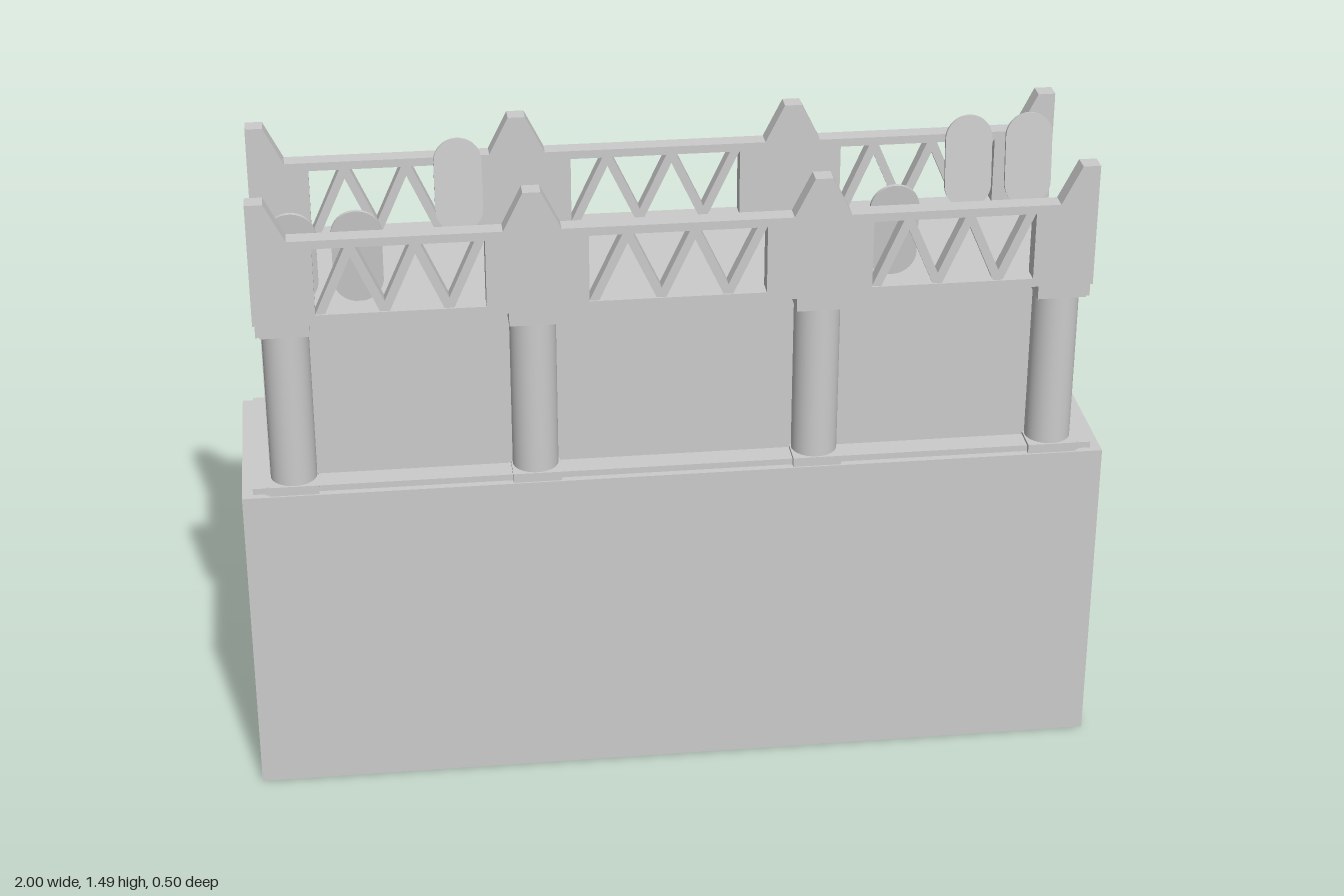
import * as THREE from 'three';

const grey = new THREE.MeshStandardMaterial({ color: 0xcccccc });
const greyThin = new THREE.MeshStandardMaterial({ color: 0xcccccc, side: THREE.DoubleSide });

function addMesh(parent, name, geometry, material = grey) {
  const mesh = new THREE.Mesh(geometry, material);
  mesh.name = name;
  parent.add(mesh);
  return mesh;
}

// Box given by its minimum and maximum corners
function addBox(parent, name, [x0, y0, z0], [x1, y1, z1], material) {
  const mesh = addMesh(parent, name, new THREE.BoxGeometry(x1 - x0, y1 - y0, z1 - z0), material);
  mesh.position.set((x0 + x1) / 2, (y0 + y1) / 2, (z0 + z1) / 2);
  return mesh;
}

function polygon(points) {
  return points.map(([x, y]) => new THREE.Vector2(x, y));
}

// Railing wall: peaked posts, three rectangular openings, zigzag bars
function createParapet(depth) {
  const group = new THREE.Group();
  const bays = [[-0.81, -0.43], [-0.2, 0.2], [0.44, 0.81]];
  const low = 1.22, high = 1.38;

  const half = [[0.26, 1.4], [0.305, 1.49], [0.345, 1.49], [0.39, 1.4], [0.865, 1.4], [0.91, 1.49], [0.95, 1.49], [0.95, 1.2]];
  const mirrored = half.map(([x, y]) => [-x, y]).reverse();
  const wall = new THREE.Shape(polygon([...mirrored, ...half]));
  for (const [a, b] of bays) {
    wall.holes.push(new THREE.Path(polygon([[a, low], [b, low], [b, high], [a, high]])));
  }
  addMesh(group, 'parapetWall', new THREE.ExtrudeGeometry(wall, { depth, bevelEnabled: false }));

  const w = 0.011; // half the horizontal width of a bar
  for (const [a, b] of bays) {
    const step = (b - a - 2 * w) / 5;
    for (let i = 0; i < 5; i++) {
      const xa = a + w + i * step, xb = xa + step;
      const ya = i % 2 ? high : low, yb = i % 2 ? low : high;
      const bar = new THREE.Shape(polygon([[xa - w, ya], [xa + w, ya], [xb + w, yb], [xb - w, yb]]));
      const mesh = addMesh(group, 'zigzagBar', new THREE.ExtrudeGeometry(bar, { depth: depth * 0.8, bevelEnabled: false }));
      mesh.position.z = depth * 0.1;
    }
  }
  return group;
}

// Flat board with round ends, standing on its lower end
function boardGeometry() {
  const r = 0.056, length = 0.228;
  const shape = new THREE.Shape();
  shape.absarc(0, length - r, r, 0, Math.PI, false);
  shape.absarc(0, r, r, Math.PI, Math.PI * 2, false);
  return new THREE.ExtrudeGeometry(shape, { depth: 0.008, bevelEnabled: false, curveSegments: 16 });
}

export function createModel() {
  const model = new THREE.Group();
  model.name = 'bridgePier';

  // Hollow base, open underneath
  const shell = new THREE.BoxGeometry(2, 0.77, 0.495);
  const faces = Array.from(shell.index.array);
  faces.splice(18, 6);
  shell.setIndex(faces);
  shell.clearGroups();
  addMesh(model, 'base', shell, greyThin).position.y = 0.385;

  // Plinth, inner block and deck
  addBox(model, 'plinth', [-0.975, 0.765, -0.23], [0.975, 0.785, 0.23]);
  addBox(model, 'innerBlock', [-0.935, 0.78, -0.172], [0.935, 1.205, 0.172]);
  addBox(model, 'deck', [-0.948, 1.2, -0.24], [0.948, 1.22, 0.24]);
  for (const s of [-1, 1]) {
    const xs = [s * 0.83, s * 0.945].sort((a, b) => a - b);
    addBox(model, 'deckEndBeam', [xs[0], 1.17, -0.24], [xs[1], 1.2, 0.24]);
    addBox(model, 'plinthEndStep', [xs[0], 0.77, -0.236], [xs[1], 0.79, 0.236]);
  }

  // Columns with foot pads and capitals
  const columnShape = new THREE.CylinderGeometry(0.053, 0.053, 0.39, 32);
  for (const side of [-1, 1]) {
    for (const x of [-0.88, -0.325, 0.325, 0.88]) {
      const column = addMesh(model, 'column', columnShape);
      column.position.set(x, 0.98, side * 0.186);
      const z0 = Math.min(side * 0.15, side * 0.243), z1 = Math.max(side * 0.15, side * 0.243);
      addBox(model, 'columnFoot', [x - 0.056, 0.766, z0], [x + 0.056, 0.792, z1]);
      addBox(model, 'capital', [x - 0.056, 1.168, z0], [x + 0.056, 1.201, z1]);
    }
  }

  // Parapets on both long sides
  for (const z of [-0.243, 0.2]) {
    const parapet = createParapet(0.043);
    parapet.name = z < 0 ? 'backParapet' : 'frontParapet';
    parapet.position.z = z;
    model.add(parapet);
  }

  // Boards leaning against the parapets
  const board = boardGeometry();
  for (const [side, xs] of [[1, [-0.855, -0.71, 0.495]], [-1, [-0.465, 0.745, 0.89]]]) {
    for (const x of xs) {
      const mesh = addMesh(model, 'leaningBoard', board);
      mesh.position.set(x, 1.22, side * 0.174 - 0.004);
      mesh.rotation.x = side * 0.095;
    }
  }
  return model;
}
